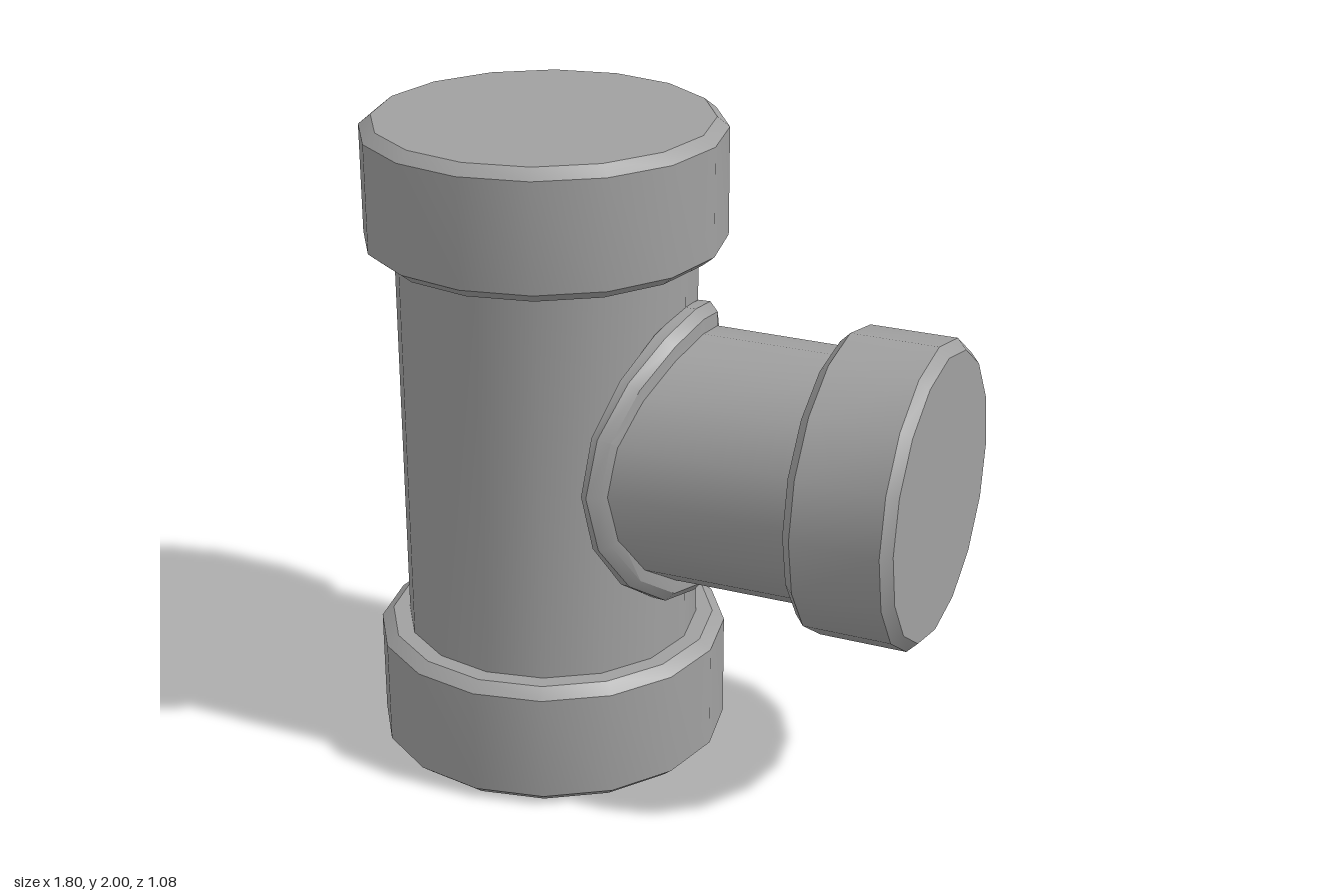
import * as THREE from 'three';
import { toCreasedNormals } from 'three/addons/utils/BufferGeometryUtils.js';

const SIDES = 16, AXIS_X = -0.36, BRANCH_Y = 1.015;
const material = new THREE.MeshStandardMaterial({ color: 0xa0a0a0 });

function add(group, name, geometry) {
  const mesh = new THREE.Mesh(toCreasedNormals(geometry, 0.5), material);
  mesh.name = name;
  group.add(mesh);
  return mesh;
}

// Solid round collar with chamfered rims, standing on y = 0
function collarGeometry(radius, height, chamfer) {
  const profile = [
    [0, 0], [radius - chamfer, 0], [radius, 0.03], [radius, height - 0.03],
    [radius - chamfer, height], [0, height],
  ].map(([r, y]) => new THREE.Vector2(r, y));
  return new THREE.LatheGeometry(profile, SIDES);
}

// Skin over elliptical rings around the x axis; each ring bends from xTop (crown) to xSide (flank)
function ringLoft(rings) {
  const positions = [], index = [];
  for (const { xTop, xSide, ry, rz } of rings) {
    for (let i = 0; i < SIDES; i++) {
      const a = (i / SIDES) * Math.PI * 2, s = Math.sin(a);
      positions.push(xTop + (xSide - xTop) * s * s, ry * Math.cos(a), rz * s);
    }
  }
  for (let r = 0; r < rings.length - 1; r++) {
    for (let i = 0; i < SIDES; i++) {
      const j = (i + 1) % SIDES;
      const a = r * SIDES + i, b = r * SIDES + j, c = a + SIDES, d = b + SIDES;
      index.push(a, b, c, b, d, c);
    }
  }
  const geometry = new THREE.BufferGeometry();
  geometry.setAttribute('position', new THREE.Float32BufferAttribute(positions, 3));
  geometry.setIndex(index);
  return geometry;
}

export function createModel() {
  const group = new THREE.Group();
  group.name = 'pipeTee';

  // Upright run with a collar at each end
  add(group, 'mainPipe', new THREE.CylinderGeometry(0.453, 0.453, 1.3, SIDES, 1, true))
    .position.set(AXIS_X, 1, 0);
  for (const [name, y] of [['lowerCollar', 0], ['upperCollar', 1.611]]) {
    add(group, name, collarGeometry(0.542, 0.389, 0.037)).position.set(AXIS_X, y, 0);
  }

  // Side branch, a little wider where it meets the run
  add(group, 'branchPipe', ringLoft([
    { xTop: 0.1, xSide: 0.01, ry: 0.385, rz: 0.395 },
    { xTop: 0.6, xSide: 0.6, ry: 0.385, rz: 0.384 },
  ])).position.y = BRANCH_Y;

  // Chamfered saddle flange wrapped around the run
  add(group, 'saddleFlange', ringLoft([
    { xTop: 0.05, xSide: -0.06, ry: 0.43, rz: 0.32 },
    { xTop: 0.085, xSide: -0.05, ry: 0.459, rz: 0.422 },
    { xTop: 0.125, xSide: -0.032, ry: 0.459, rz: 0.428 },
    { xTop: 0.15, xSide: 0.005, ry: 0.43, rz: 0.412 },
    { xTop: 0.15, xSide: 0.03, ry: 0.38, rz: 0.385 },
  ])).position.y = BRANCH_Y;

  // Collar closing the branch
  const branchCollar = add(group, 'branchCollar', collarGeometry(0.459, 0.325, 0.03));
  branchCollar.rotation.z = -Math.PI / 2;
  branchCollar.position.set(0.573, BRANCH_Y, 0);

  return group;
}
